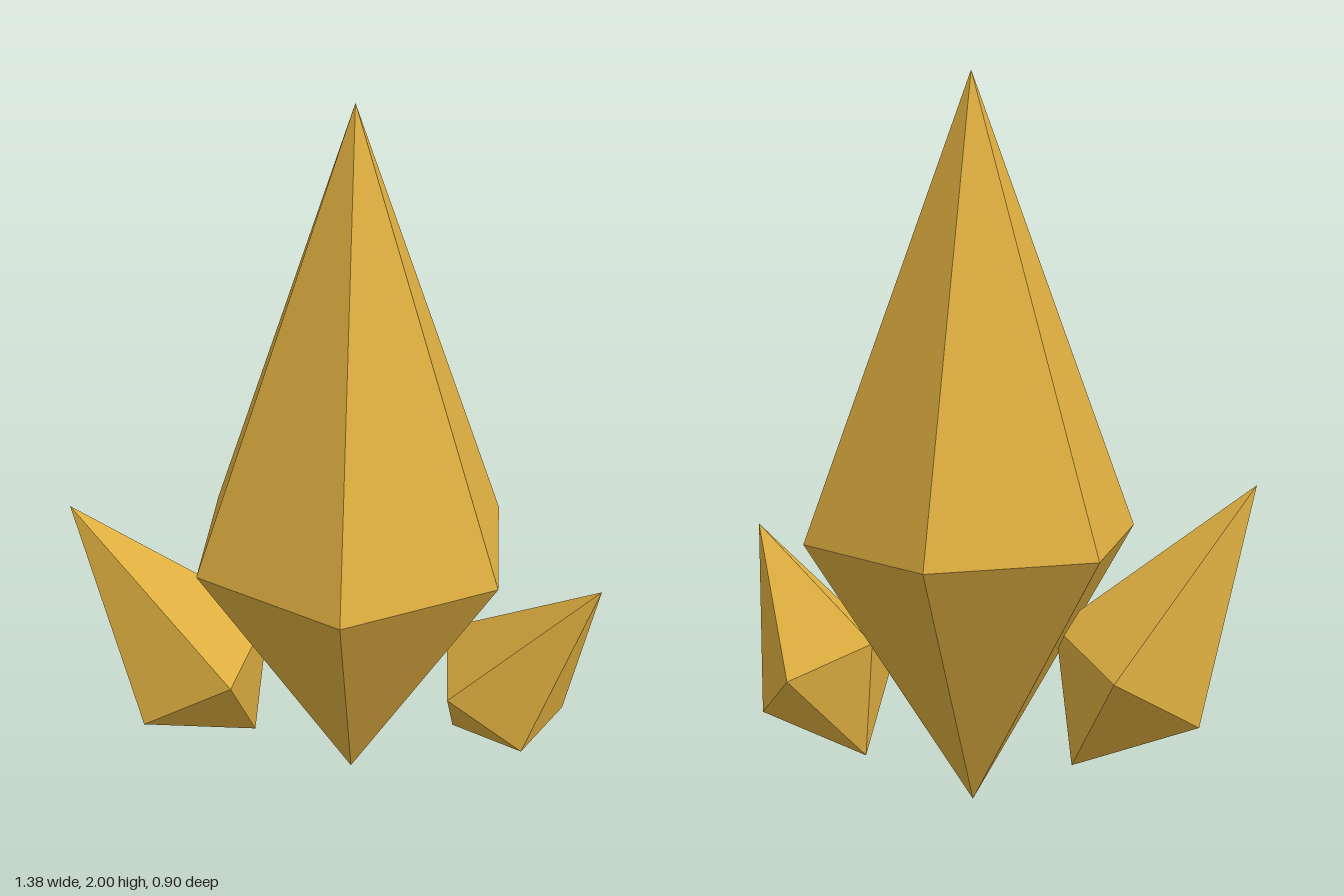
import * as THREE from 'three';

const amber = new THREE.MeshStandardMaterial({ color: 0xdeae40, flatShading: true });
amber.name = 'amber';

// Bipyramid from base to tip; waist is the ring's share of the length, ref points to its first corner.
function crystal(name, base, tip, waist, radius, sides, ref) {
  const b = new THREE.Vector3(...base);
  const t = new THREE.Vector3(...tip);
  const axis = t.clone().sub(b).normalize();
  const u = new THREE.Vector3(...ref);
  u.addScaledVector(axis, -u.dot(axis)).normalize();
  const v = axis.clone().cross(u);
  const centre = b.clone().lerp(t, waist);
  const ring = [];
  for (let i = 0; i < sides; i++) {
    const a = (i / sides) * Math.PI * 2;
    ring.push(centre.clone()
      .addScaledVector(u, radius * Math.cos(a))
      .addScaledVector(v, radius * Math.sin(a)));
  }
  // One upper and one lower facet per side
  const corners = [];
  for (let i = 0; i < sides; i++) {
    const p = ring[i], q = ring[(i + 1) % sides];
    corners.push(p, q, t, q, p, b);
  }
  const geometry = new THREE.BufferGeometry().setFromPoints(corners);
  geometry.computeVertexNormals();
  const mesh = new THREE.Mesh(geometry, amber);
  mesh.name = name;
  return mesh;
}

export function createModel() {
  const group = new THREE.Group();
  group.name = 'crystalCluster';
  group.add(
    // Tall upright six-sided crystal
    crystal('mainCrystal', [0.072, 0, 0], [0.072, 2, 0], 0.378, 0.465, 6,
      [Math.cos(Math.PI / 12), 0, -Math.sin(Math.PI / 12)]),
    // Five-sided crystals leaning outwards
    crystal('rightCrystal', [-0.2, 0.12, -0.065], [-0.692, 0.905, -0.065], 0.332, 0.247, 5,
      [0.848, 0.53, 0]),
    crystal('leftCrystal', [0.37, 0.12, 0.02], [0.69, 0.715, 0.325], 0.332, 0.217, 5,
      [0.194, -0.101, 0.004]),
  );
  return group;
}
